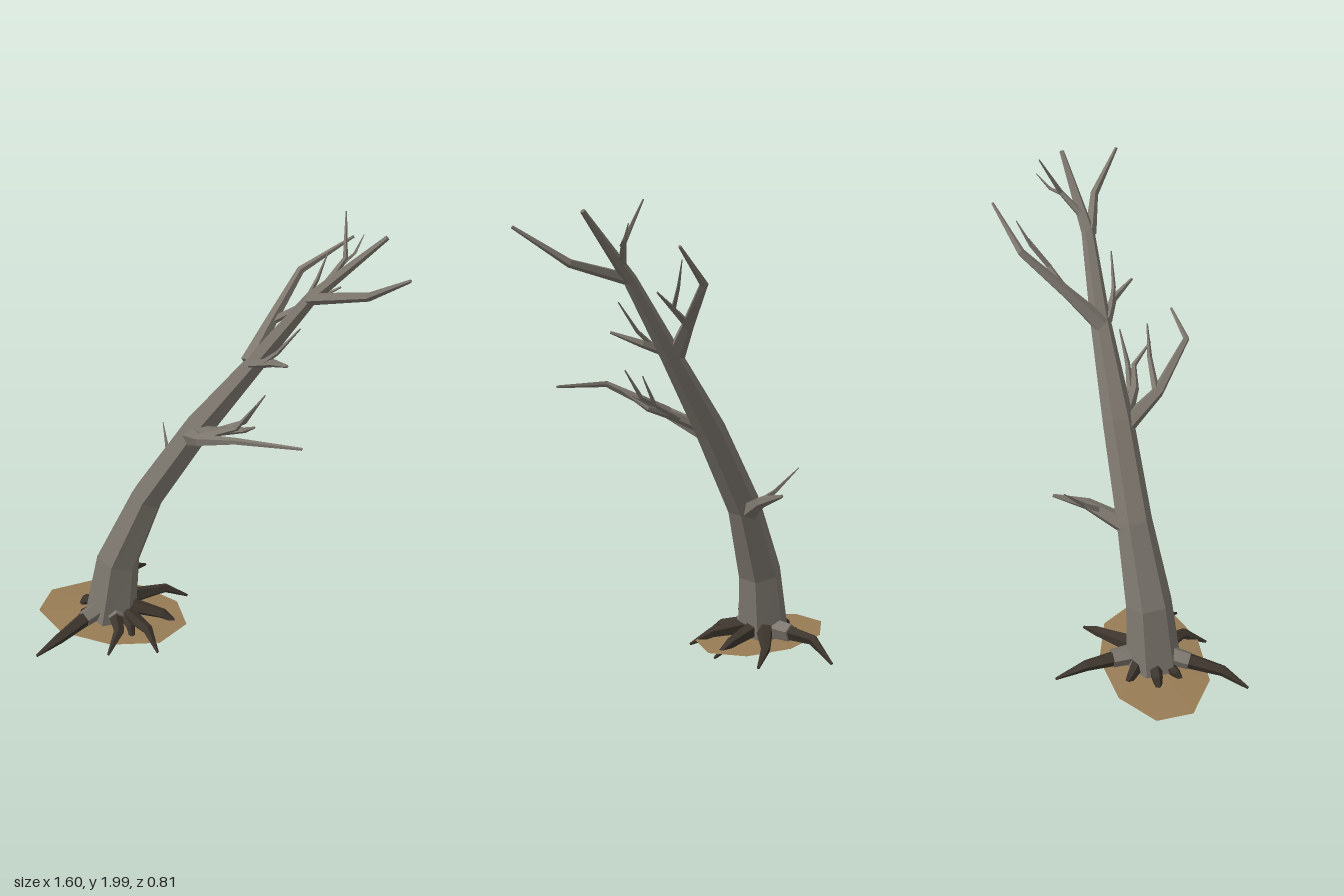
import * as THREE from 'three';

const bark = new THREE.MeshStandardMaterial({ color: 0x7d776e });
bark.name = 'greyBark';
const darkRoot = new THREE.MeshStandardMaterial({ color: 0x3d352d });
darkRoot.name = 'darkRoot';
const soil = new THREE.MeshStandardMaterial({ color: 0x977c55, side: THREE.DoubleSide });
soil.name = 'drySoil';
for (const m of [bark, darkRoot, soil]) m.flatShading = true;

// Tapered faceted limb through rows of [x, y, z, radius], capped at both ends.
function limb(name, rows, sides, material) {
  const pts = rows.map(r => new THREE.Vector3(r[0], r[1], r[2]));
  const normal = new THREE.Vector3(0, 0, 1);
  const first = pts[1].clone().sub(pts[0]).normalize();
  if (Math.abs(first.z) > 0.8) normal.set(0, 1, 0);
  const pos = [], index = [];
  pts.forEach((p, i) => {
    const t = new THREE.Vector3();
    if (i > 0) t.add(p.clone().sub(pts[i - 1]).normalize());
    if (i < pts.length - 1) t.add(pts[i + 1].clone().sub(p).normalize());
    t.normalize();
    normal.addScaledVector(t, -normal.dot(t)).normalize();
    const side = new THREE.Vector3().crossVectors(t, normal);
    for (let k = 0; k < sides; k++) {
      const a = (k / sides) * Math.PI * 2;
      const v = p.clone()
        .addScaledVector(normal, Math.cos(a) * rows[i][3])
        .addScaledVector(side, Math.sin(a) * rows[i][3]);
      pos.push(v.x, Math.max(v.y, 0), v.z);
    }
  });
  for (let i = 0; i < pts.length - 1; i++) {
    for (let k = 0; k < sides; k++) {
      const a = i * sides + k, b = i * sides + (k + 1) % sides;
      index.push(a, b, b + sides, a, b + sides, a + sides);
    }
  }
  const end = (pts.length - 1) * sides;
  for (let k = 1; k < sides - 1; k++) {
    index.push(0, k + 1, k, end, end + k, end + k + 1);
  }
  const g = new THREE.BufferGeometry();
  g.setAttribute('position', new THREE.Float32BufferAttribute(pos, 3));
  g.setIndex(index);
  const flat = g.toNonIndexed();
  flat.computeVertexNormals();
  const mesh = new THREE.Mesh(flat, material);
  mesh.name = name;
  return mesh;
}

export function createModel() {
  const tree = new THREE.Group();
  tree.name = 'leaningDeadTree';

  // Leaning trunk
  tree.add(limb('trunk', [
    [-0.47, 0.04, 0.042, 0.122], [-0.425, 0.35, 0.028, 0.1], [-0.285, 0.69, 0, 0.076],
    [-0.06, 1.055, -0.012, 0.066], [0.19, 1.4, -0.024, 0.043],
    [0.4, 1.7, -0.022, 0.028], [0.67, 1.955, -0.068, 0.01],
  ], 6, bark));

  // Main branches
  const branches = {
    lowBackBranch: [[-0.285, 0.67, -0.03, 0.045], [-0.2, 0.75, -0.18, 0.026], [-0.17, 0.8, -0.32, 0.007]],
    frontBranch: [[-0.08, 1.03, 0.01, 0.042], [0.01, 1.12, 0.18, 0.026], [0.2, 1.245, 0.36, 0.014], [0.46, 1.255, 0.37, 0.006]],
    frontSideBranch: [[-0.06, 1.06, 0.02, 0.03], [0.06, 1.12, 0.09, 0.02], [0.18, 1.16, 0.12, 0.012], [0.24, 1.23, 0.21, 0.004]],
    backBranch: [[0.16, 1.39, -0.025, 0.04], [0.215, 1.52, -0.15, 0.026], [0.3, 1.69, -0.325, 0.017], [0.5, 1.828, -0.4, 0.006]],
    shortFrontBranch: [[0.17, 1.4, 0, 0.022], [0.27, 1.44, 0.05, 0.017], [0.35, 1.485, 0.155, 0.006]],
    upperBranch: [[0.39, 1.7, -0.015, 0.026], [0.63, 1.765, 0.06, 0.018], [0.79, 1.9, 0.2, 0.007]],
    crownBranch: [[0.45, 1.75, -0.03, 0.018], [0.51, 1.84, -0.11, 0.011], [0.49, 1.998, -0.2, 0.003]],
  };
  for (const [name, rows] of Object.entries(branches)) tree.add(limb(name, rows, 5, bark));

  // Thin twigs growing from the branches
  const twigs = [
    [[-0.23, 0.73, -0.13, 0.016], [-0.25, 0.79, -0.21, 0.011], [-0.3, 0.9, -0.3, 0.002]],
    [[0.01, 1.13, 0.17, 0.016], [0.16, 1.2, 0.185, 0.011], [0.24, 1.32, 0.195, 0.003]],
    [[0.05, 1.11, 0.07, 0.015], [0.17, 1.18, 0.09, 0.011], [0.25, 1.305, 0.075, 0.003]],
    [[0.21, 1.52, -0.15, 0.018], [0.36, 1.6, -0.21, 0.011], [0.48, 1.66, -0.26, 0.004]],
    [[0.34, 1.59, -0.2, 0.011], [0.38, 1.68, -0.27, 0.008], [0.41, 1.78, -0.32, 0.002]],
    [[0.23, 1.43, 0.035, 0.012], [0.29, 1.49, 0.06, 0.009], [0.38, 1.61, 0.072, 0.003]],
    [[0.51, 1.83, -0.1, 0.009], [0.54, 1.85, -0.15, 0.007], [0.565, 1.91, -0.2, 0.002]],
  ];
  twigs.forEach(rows => tree.add(limb('twig', rows, 4, bark)));

  // Spreading roots
  const roots = [
    [[-0.45, 0.09, -0.02, 0.042], [-0.465, 0.085, -0.26, 0.025], [-0.44, 0.012, -0.39, 0.006]],
    [[-0.5, 0.1, 0.09, 0.042], [-0.62, 0.06, 0.31, 0.025], [-0.7, 0.012, 0.4, 0.006]],
    [[-0.44, 0.09, 0.08, 0.04], [-0.37, 0.07, 0.21, 0.025], [-0.39, 0.012, 0.31, 0.006]],
    [[-0.4, 0.09, 0.07, 0.04], [-0.25, 0.07, 0.16, 0.025], [-0.18, 0.012, 0.235, 0.006]],
    [[-0.4, 0.09, -0.03, 0.04], [-0.26, 0.07, -0.16, 0.022], [-0.165, 0.015, -0.2, 0.006]],
    [[-0.4, 0.09, 0.03, 0.04], [-0.22, 0.06, 0.02, 0.025], [-0.13, 0.012, 0.03, 0.006]],
    [[-0.5, 0.09, 0.03, 0.038], [-0.6, 0.07, 0.02, 0.025], [-0.64, 0.012, 0.02, 0.008]],
    [[-0.48, 0.08, -0.02, 0.035], [-0.55, 0.06, -0.08, 0.022], [-0.56, 0.012, -0.11, 0.008]],
    [[-0.5, 0.08, 0.06, 0.035], [-0.58, 0.06, 0.11, 0.022], [-0.61, 0.012, 0.14, 0.008]],
    [[-0.42, 0.08, 0.06, 0.035], [-0.33, 0.07, 0.16, 0.022], [-0.31, 0.012, 0.2, 0.008]],
  ];
  roots.forEach(rows => tree.add(limb('root', rows, 5, darkRoot)));

  // Bark collars where the biggest roots leave the trunk
  const collars = [
    [[-0.45, 0.09, -0.03, 0.048], [-0.455, 0.09, -0.14, 0.042]],
    [[-0.49, 0.1, 0.08, 0.046], [-0.55, 0.085, 0.18, 0.039]],
    [[-0.43, 0.09, 0.09, 0.044], [-0.405, 0.085, 0.14, 0.037]],
  ];
  collars.forEach(rows => tree.add(limb('rootCollar', rows, 5, bark)));

  // Irregular soil patch, slightly raised in the middle
  const rim = [[-0.8, -0.04], [-0.64, -0.16], [-0.4, -0.185], [-0.19, -0.11], [-0.1, 0.04],
    [-0.18, 0.2], [-0.39, 0.27], [-0.64, 0.245], [-0.8, 0.12]];
  const verts = [];
  rim.forEach(([x, z], i) => {
    const [nx, nz] = rim[(i + 1) % rim.length];
    verts.push(-0.45, 0.05, 0.04, nx, 0.04, nz, x, 0.04, z);
  });
  const patch = new THREE.BufferGeometry();
  patch.setAttribute('position', new THREE.Float32BufferAttribute(verts, 3));
  patch.computeVertexNormals();
  const ground = new THREE.Mesh(patch, soil);
  ground.name = 'soilPatch';
  tree.add(ground);

  return tree;
}
